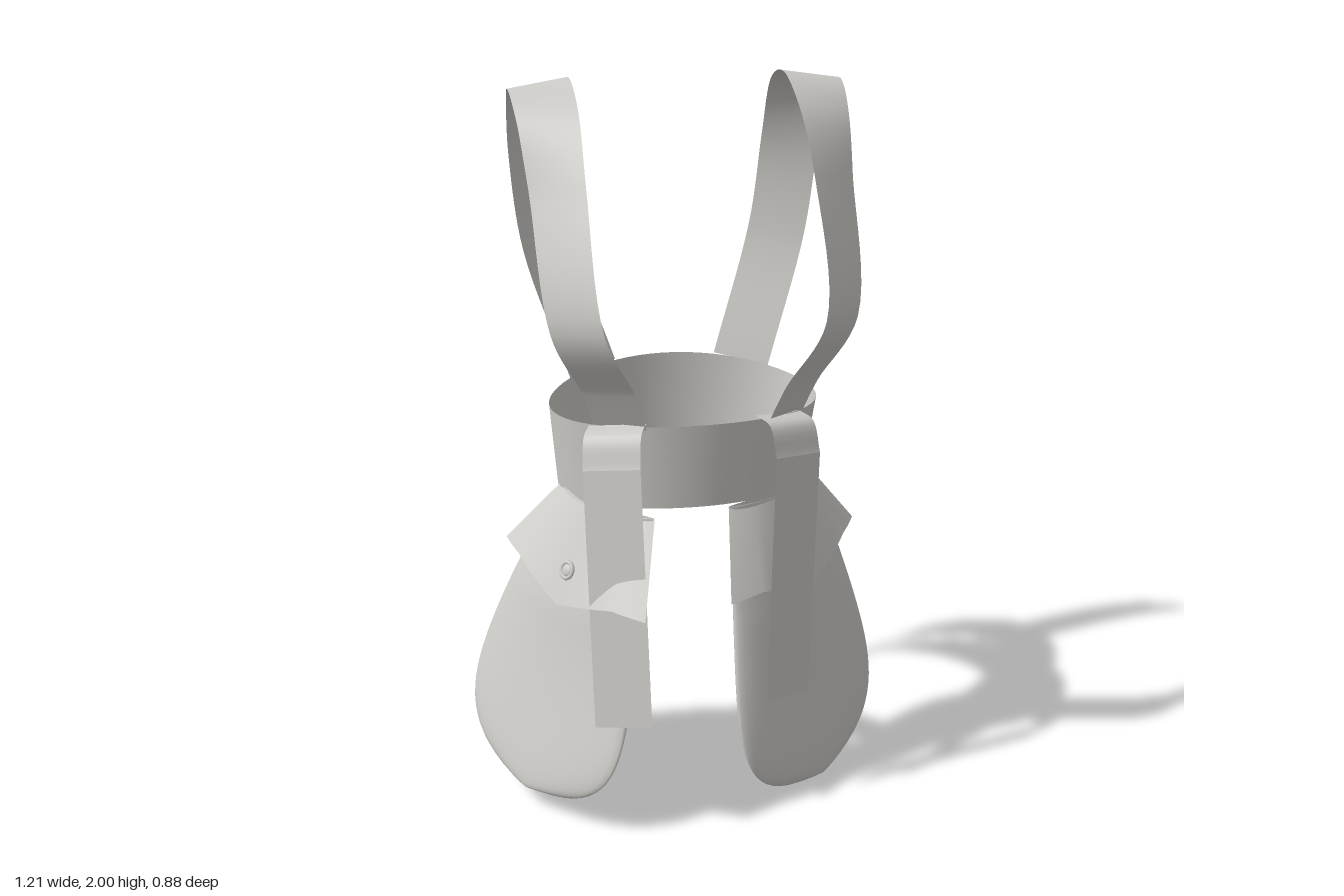
import * as THREE from 'three';
import { ParametricGeometry } from 'three/addons/geometries/ParametricGeometry.js';

const { lerp, smoothstep } = THREE.MathUtils;
const vec = (x, y, z) => new THREE.Vector3(x, y, z);

export function createModel() {
  const group = new THREE.Group();
  const cloth = new THREE.MeshStandardMaterial({ color: 0xcdcbc7, side: THREE.DoubleSide });
  cloth.name = 'pale grey cloth';

  // Smooth cloth surface from a rule giving a point for each (u, v)
  const surface = (name, rule, uSteps, vSteps) => {
    const geometry = new ParametricGeometry((u, v, target) => target.copy(rule(u, v)), uSteps, vSteps);
    const mesh = new THREE.Mesh(geometry, cloth);
    mesh.name = name;
    group.add(mesh);
  };

  // Band following a path, with a rule for its half-width vector
  const band = (name, path, halfWidth, steps) =>
    surface(name, (u, v) => path.getPoint(v).addScaledVector(halfWidth(v), 2 * u - 1), 4, steps);

  // Waist belt, dipping at the sides and narrowing downward
  surface('belt', (u, v) => {
    const a = u * Math.PI * 2, s = Math.sin(a);
    return vec(
      0.025 - 0.01 * v + (0.385 - 0.03 * v) * Math.cos(a),
      1.1 - 0.24 * v + (s < 0 ? 0.04 : 0.022) * s * s,
      -0.088 + (0.3 - 0.008 * v) * s);
  }, 64, 4);

  // Pouches hang at different angles on each side
  const sides = [
    {
      name: 'left', sign: 1, angle: 0.69, flare: 0.09,
      hang: [vec(0.235, 0.88, 0.095), vec(0.34, 0.44, 0.06), vec(0.368, 0, 0.2)],
      tailEnd: vec(0.242, 0.32, 0.3),
    },
    {
      name: 'right', sign: -1, angle: 1.04, flare: 0.13,
      hang: [vec(-0.23, 0.88, 0.09), vec(-0.3575, 0.47, 0.005), vec(-0.483, 0.06, 0.19)],
      tailEnd: vec(-0.25, 0.333, 0.402),
    },
  ];

  for (const { name, sign, angle, flare, hang, tailEnd } of sides) {
    // Shoulder strap: belt front, over the shoulder, twisting down to the belt back
    const strapPath = new THREE.CatmullRomCurve3([
      vec(0.265, 1.1, 0.135), vec(0.3, 1.21, 0.175), vec(0.392, 1.4, 0.225), vec(0.41, 1.75, 0.055),
      vec(0.413, 1.915, -0.065), vec(0.416, 1.985, -0.2), vec(0.414, 1.945, -0.305),
      vec(0.41, 1.77, -0.385), vec(0.378, 1.5, -0.4), vec(0.258, 1.12, -0.34),
    ].map((p) => vec(0.0325 + sign * (p.x - 0.0325), p.y, p.z)));
    band(name + 'ShoulderStrap', strapPath, (t) => {
      const twist = -0.75 + 1.25 * smoothstep(t, 0.2, 0.85);
      return vec(sign * Math.cos(twist), -0.15, Math.sin(twist)).multiplyScalar(0.084);
    }, 72);

    // Strap end folded over the belt, then hanging free
    const tailHalf = () => vec(sign * 0.072, -0.01, -0.037);
    const foldEnd = vec(0.015 + sign * 0.26, 1.024, 0.24);
    const foldPath = new THREE.CatmullRomCurve3([
      vec(0.015 + sign * 0.225, 1.117, 0.143), vec(0.015 + sign * 0.25, 1.105, 0.203), foldEnd]);
    band(name + 'StrapFold', foldPath, tailHalf, 10);
    band(name + 'StrapTail', new THREE.LineCurve3(foldEnd, tailEnd), tailHalf, 4);

    // Pouch: flattened bag, widening downward to a rounded bottom
    const across = vec(sign * Math.cos(angle), 0, -Math.sin(angle));
    const outward = vec(sign * Math.sin(angle), 0, Math.cos(angle));
    const hangPath = new THREE.QuadraticBezierCurve3(...hang);
    surface(name + 'Pouch', (u, v) => {
      const t = 0.9995 * Math.sin(v * Math.PI / 2), a = u * Math.PI * 2, s = Math.sin(a);
      const halfWidth = (0.195 + 0.21 * t) * Math.sqrt(1 - t ** 7);
      const thickness = 0.045 * Math.min(1, 0.4 + 1.6 * t) * Math.sqrt(1 - t ** 4);
      return hangPath.getPoint(t)
        .addScaledVector(across, -halfWidth * Math.cos(a))
        .addScaledVector(outward, thickness * s + 0.045 * (1 - 0.6 * t) * s * s);
    }, 36, 30);

    // Flap: flares away from the belt and drops to a small central point
    surface(name + 'PouchFlap', (u, v) => {
      const x = 2 * u - 1;
      const drop = 0.2 + 0.06 * Math.max(0, 1 - 1.5 * Math.abs(x)) - 0.03 * x;
      return hang[0].clone()
        .addScaledVector(across, x * lerp(0.195, 0.3, v))
        .addScaledVector(outward, 0.062 * (1 - x * x) + flare * v)
        .add(vec(0, -drop * v, 0));
    }, 24, 6);

    // Button: raised rim around a shallow dome
    const button = new THREE.Group();
    button.name = name + 'Button';
    const rim = new THREE.Mesh(new THREE.TorusGeometry(0.022, 0.006, 8, 20), cloth);
    rim.name = name + 'ButtonRim';
    const cap = new THREE.Mesh(new THREE.SphereGeometry(0.018, 16, 8), cloth);
    cap.name = name + 'ButtonCap';
    cap.scale.z = 0.4;
    button.add(rim, cap);
    button.position.copy(hang[0])
      .addScaledVector(outward, 0.067 + 0.65 * flare)
      .add(vec(0, -0.17, 0));
    const facing = outward.clone().setY(0.4).normalize();
    button.quaternion.setFromUnitVectors(vec(0, 0, 1), facing);
    group.add(button);
  }
  return group;
}
